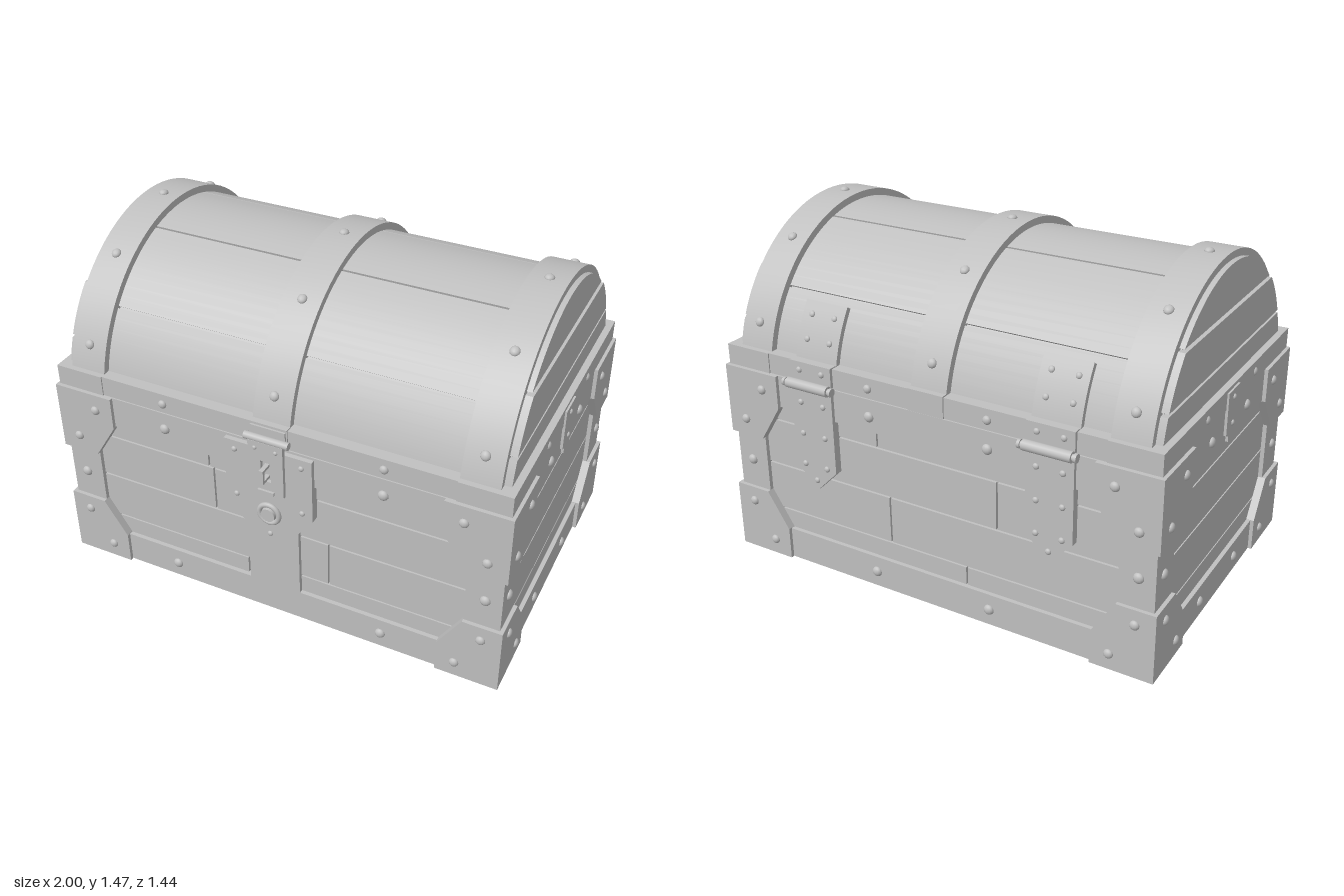
import * as THREE from 'three';
import { toCreasedNormals } from 'three/addons/utils/BufferGeometryUtils.js';

const RAD = Math.PI / 180;
const LID_Y = 0.81; // axis height of the barrel lid

export function createModel() {
  const model = new THREE.Group();
  const grey = new THREE.MeshStandardMaterial({ color: 0xc0c0c0 });
  grey.name = 'grey';

  const add = (parent, name, geometry) => {
    const mesh = new THREE.Mesh(geometry, grey);
    mesh.name = name;
    parent.add(mesh);
    return mesh;
  };
  const box = (parent, name, x0, x1, y0, y1, z0, z1) => {
    const g = new THREE.BoxGeometry(x1 - x0, y1 - y0, z1 - z0);
    g.translate((x0 + x1) / 2, (y0 + y1) / 2, (z0 + z1) / 2);
    return add(parent, name, g);
  };
  // Flat outline with its outer face at z1
  const plate = (parent, name, points, z0, z1, hole) => {
    const s = new THREE.Shape(points.map(p => new THREE.Vector2(...p)));
    if (hole) s.holes.push(new THREE.Path(hole.map(p => new THREE.Vector2(...p))));
    const g = new THREE.ExtrudeGeometry(s, { depth: z1 - z0, bevelEnabled: false });
    g.translate(0, 0, z0);
    return add(parent, name, g);
  };
  const rivetGeo = new THREE.SphereGeometry(0.02, 12, 8);
  const rivet = (parent, x, y, z, s = 1) => {
    const m = add(parent, 'rivet', rivetGeo);
    m.position.set(x, y, z);
    m.scale.set(s, s, 0.7 * s);
    return m;
  };
  const rod = (parent, name, r, x0, x1, y, z) => {
    const g = new THREE.CylinderGeometry(r, r, x1 - x0, 16);
    g.rotateZ(Math.PI / 2);
    g.translate((x0 + x1) / 2, y, z);
    return add(parent, name, g);
  };
  // Curved slab on the lid; angles in degrees from the top, positive to the front
  const arc = (parent, name, r0, r1, a0, a1, x0, x1) => {
    const n = Math.max(4, Math.round((a1 - a0) / 4));
    const pts = [];
    const put = (r, t) => {
      const a = (a0 + (a1 - a0) * t) * RAD;
      pts.push(new THREE.Vector2(-r * Math.sin(a), r * Math.cos(a)));
    };
    for (let i = 0; i <= n; i++) put(r1, i / n);
    for (let i = n; i >= 0; i--) put(r0, i / n);
    const g = new THREE.ExtrudeGeometry(new THREE.Shape(pts), { depth: x1 - x0, bevelEnabled: false });
    g.rotateY(Math.PI / 2);
    g.translate(x0, LID_Y, 0);
    return add(parent, name, toCreasedNormals(g, 0.4));
  };
  const lidRivet = (parent, x, r, deg, s) => {
    const a = deg * RAD;
    rivet(parent, x, LID_Y + r * Math.cos(a), r * Math.sin(a), s).rotation.x = a - Math.PI / 2 < 0 ? -(Math.PI / 2 - a) : 0;
  };

  // Inner body behind the planks
  box(model, 'bodyCore', -0.94, 0.94, 0.012, 0.87, -0.625, 0.625);

  // One wall: planks, rails, posts, corner plates and rivets
  const rows = [[0.13, 0.219], [0.226, 0.43], [0.438, 0.641], [0.649, 0.73]];
  function wall(name, half, dist, turn, o) {
    const w = new THREE.Group();
    w.name = name;
    w.rotation.y = turn;
    model.add(w);
    const e = half - 0.04, rail = dist - 0.016, h = half - 0.016;
    rows.forEach(([y0, y1], i) => {
      const j = o.joints ? o.joints[i] : null;
      const cuts = j === null ? [[-e, e]] : [[-e, j - 0.004], [j + 0.004, e]];
      cuts.forEach(([a, b]) => box(w, 'plank', a, b, y0, y1, dist - 0.06, dist - 0.034));
    });
    box(w, 'bottomRail', -h, h, 0, 0.14, dist - 0.06, rail);
    box(w, 'topRail', -h, h, 0.72, 0.86, dist - 0.06, rail);
    for (const s of [-1, 1]) {
      box(w, 'cornerPost', Math.min(s * o.post, s * h), Math.max(s * o.post, s * h), 0, 0.86, dist - 0.06, rail);
      const mirror = pts => pts.map(([x, y]) => [s * x, y]);
      plate(w, 'upperCornerPlate', mirror([[half, 0.86], [o.inner, 0.86], [o.inner, 0.715], [o.post, 0.555], [half, 0.555]]), dist - 0.06, dist);
      plate(w, 'lowerCornerPlate', mirror([[half, 0], [half, 0.3], [o.post, 0.3], [o.inner, 0.142], [o.inner, 0]]), dist - 0.06, dist);
      for (const y of [0.07, 0.785]) {
        rivet(w, s * (o.inner + 0.08), y, dist);
        rivet(w, s * o.mid, y, rail, 1.1);
      }
      for (const y of [0.235, 0.63]) rivet(w, s * (half - 0.085), y, dist);
      rivet(w, s * (half - 0.085), 0.43, rail, 1.1);
      rivet(w, s * o.rim, 0.905, rail, 0.9);
    }
    return w;
  }
  const front = wall('frontWall', 0.985, 0.672, 0, { joints: [-0.13, 0.24, -0.27, -0.29], post: 0.82, inner: 0.72, mid: 0.476, rim: 0.476 });
  const back = wall('backWall', 0.985, 0.672, Math.PI, { joints: [0.16, -0.2, 0.3, -0.25], post: 0.82, inner: 0.72, mid: 0.27, rim: 0.27 });
  const sides = [1, -1].map(s =>
    wall(s > 0 ? 'leftWall' : 'rightWall', 0.672, 0.985, s * Math.PI / 2, { post: 0.5, inner: 0.39, mid: 0.19, rim: 0.255 }));

  // Lid rim with thicker corners
  box(model, 'lidRim', -0.968, 0.968, 0.863, 0.95, -0.654, 0.654);
  for (const s of [-1, 1]) {
    const [a, b] = s > 0 ? [0.76, 0.972] : [-0.972, -0.76];
    box(model, 'rimCorner', a, b, 0.863, 0.95, -0.659, 0.659);
  }

  // Barrel lid: core, curved planks and iron bands
  const lid = new THREE.Group();
  lid.name = 'lid';
  model.add(lid);
  arc(lid, 'lidCore', 0.02, 0.606, -85, 85, -0.92, 0.92);
  const seams = [-85, -52.5, -17.3, 17.3, 52.5, 85];
  for (let i = 0; i < 5; i++) arc(lid, 'lidPlank', 0.595, 0.62, seams[i] + 0.4, seams[i + 1] - 0.4, -0.915, 0.915);
  for (const [x0, x1] of [[-0.915, -0.76], [-0.08, 0.08], [0.76, 0.915]]) {
    arc(lid, 'lidBand', 0.6, 0.65, -85, 85, x0, x1);
    for (const d of [-68, -34, 0, 34, 68]) lidRivet(lid, (x0 + x1) / 2, 0.65, d);
  }
  for (const s of [-1, 1]) box(lid, 'bandFoot', -0.08, 0.08, 0.863, 0.955, s > 0 ? 0.6 : -0.66, s > 0 ? 0.66 : -0.6);

  // Horizontal planks closing both ends of the lid
  [[0.94, 1.044], [1.056, 1.238], [1.248, LID_Y + 0.62]].forEach(([y0, y1], row) => {
    const pts = [];
    for (let i = 0; i <= 16; i++) {
      const y = y0 + (y1 - y0) * Math.sin(i / 16 * Math.PI / 2);
      pts.push([Math.sqrt(Math.max(0, 0.62 ** 2 - (y - LID_Y) ** 2)), y]);
    }
    const outline = pts.concat(pts.slice(0, y1 > 1.4 ? 16 : 17).reverse().map(([x, y]) => [-x, y]));
    for (const s of sides) plate(s, 'lidEndPlank', outline, 0.9, row === 2 ? 0.936 : 0.944);
  });

  // Small plate on each end, across the rim and rail
  for (const s of sides) {
    plate(s, 'sidePlate', [[-0.035, 0.72], [0.035, 0.72], [0.035, 0.745], [0.06, 0.755], [0.06, 0.935], [-0.06, 0.935], [-0.06, 0.755], [-0.035, 0.745]], 0.95, 0.98);
    for (const y of [0.79, 0.9]) rivet(s, 0, y, 0.98, 0.6);
  }

  // Front lock
  const lock = new THREE.Group();
  lock.name = 'lock';
  front.add(lock);
  box(lock, 'lockPost', -0.115, 0.115, 0.13, 0.5, 0.6, 0.656);
  plate(lock, 'lockPlate', [[-0.19, 0.85], [-0.19, 0.56], [-0.12, 0.47], [0, 0.375], [0.12, 0.47], [0.19, 0.56], [0.19, 0.85]], 0.63, 0.676);
  plate(lock, 'hasp', [[-0.075, 0.65], [0.075, 0.65], [0.075, 0.89], [-0.075, 0.89]], 0.674, 0.692,
    [[-0.022, 0.71], [-0.022, 0.805], [0.022, 0.805], [0.022, 0.71]]);
  box(lock, 'haspLip', -0.035, 0.035, 0.652, 0.668, 0.69, 0.702);
  rod(lock, 'haspHinge', 0.016, -0.095, 0.095, 0.897, 0.676);
  plate(lock, 'haspStrap', [[-0.075, 0.89], [0.075, 0.89], [0.075, 0.945], [-0.075, 0.945]], 0.65, 0.668);
  // Staple loop through the hasp slot
  box(lock, 'staple', -0.009, 0.009, 0.722, 0.734, 0.67, 0.73);
  box(lock, 'staple', -0.009, 0.009, 0.774, 0.786, 0.67, 0.73);
  box(lock, 'staple', -0.009, 0.009, 0.722, 0.786, 0.718, 0.73);
  const ring = add(lock, 'keyholeRing', new THREE.TorusGeometry(0.043, 0.011, 10, 28));
  ring.position.set(0, 0.54, 0.68);
  const knob = new THREE.CylinderGeometry(0.03, 0.034, 0.03, 24);
  knob.rotateX(Math.PI / 2);
  add(lock, 'keyholeBoss', knob).position.set(0, 0.54, 0.68);
  for (const s of [-1, 1]) {
    rivet(lock, s * 0.145, 0.81, 0.676, 0.6);
    rivet(lock, s * 0.145, 0.59, 0.676, 0.6);
    rivet(lock, s * 0.045, 0.86, 0.692, 0.45);
  }
  rivet(lock, 0, 0.435, 0.676, 0.6);

  // Rear hinges: barrel, lower pointed strap, upper curved strap
  for (const x of [-0.54, 0.54]) {
    const hinge = new THREE.Group();
    hinge.name = 'hinge';
    hinge.position.x = x;
    back.add(hinge);
    rod(hinge, 'hingeBarrel', 0.022, -0.1, 0.1, 0.865, 0.688);
    rod(hinge, 'hingePin', 0.013, -0.118, 0.118, 0.865, 0.688);
    for (const s of [-1, 1]) rod(hinge, 'pinCap', 0.018, s * 0.114 - 0.006, s * 0.114 + 0.006, 0.865, 0.688);
    plate(hinge, 'lowerStrap', [[-0.1, 0.85], [-0.1, 0.49], [-0.06, 0.45], [0, 0.39], [0.06, 0.45], [0.1, 0.49], [0.1, 0.85]], 0.63, 0.672);
    box(hinge, 'upperStrapFoot', -0.1, 0.1, 0.87, 0.955, 0.63, 0.668);
    arc(hinge, 'upperStrap', 0.6, 0.642, 56, 82, -0.1, 0.1);
    for (const s of [-1, 1]) {
      for (const y of [0.5, 0.64, 0.78]) rivet(hinge, s * 0.055, y, 0.672, 0.65);
      for (const d of [61, 70]) lidRivet(hinge, s * 0.055, 0.642, d, 0.65);
      rivet(hinge, s * 0.055, 0.92, 0.668, 0.65);
    }
    rivet(hinge, 0, 0.435, 0.672, 0.65);
  }

  model.position.z = -0.012;
  const root = new THREE.Group();
  root.name = 'chest';
  root.add(model);
  return root;
}
